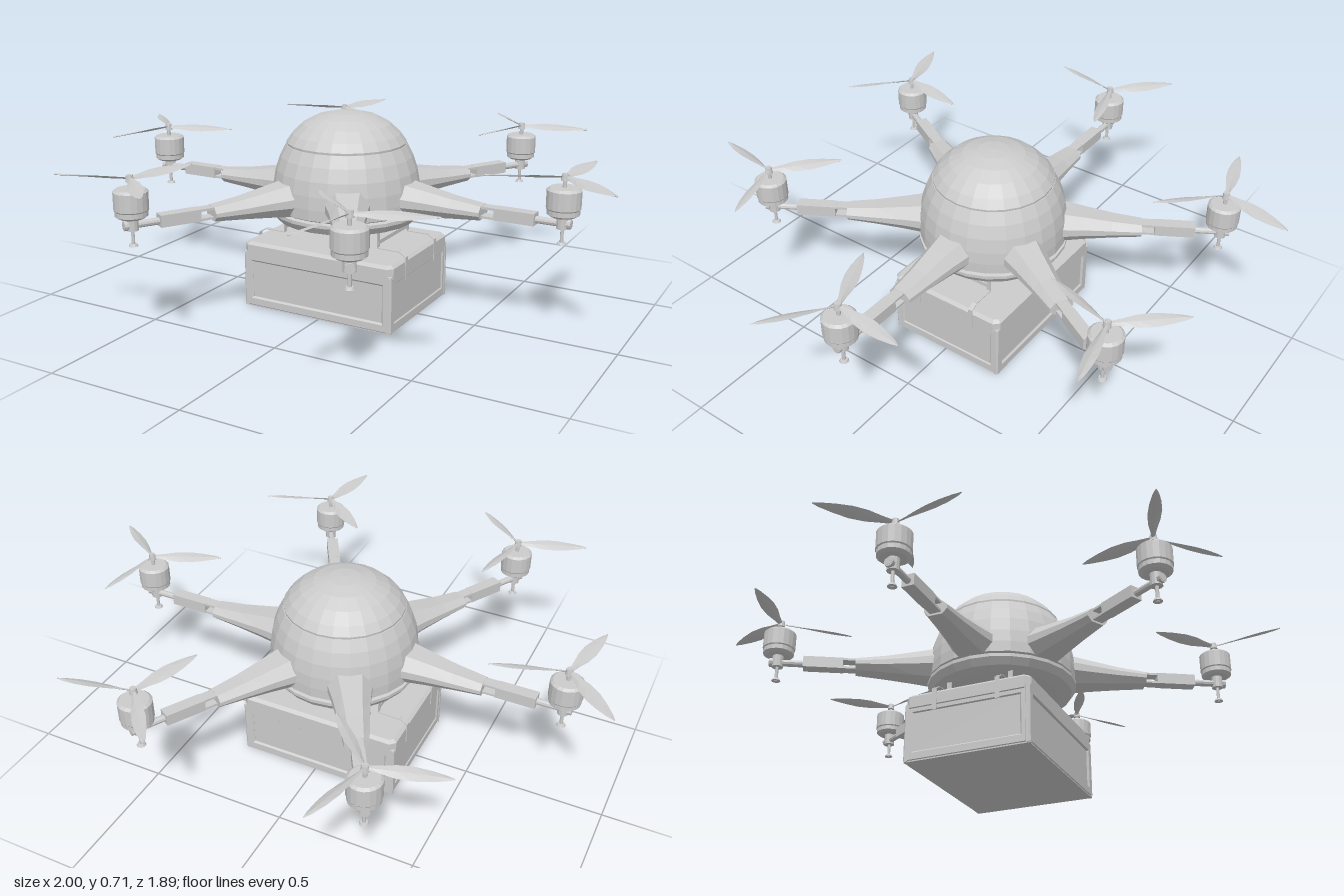
import * as THREE from 'three';

const grey = new THREE.MeshStandardMaterial({ color: 0xcccccc, flatShading: true });
const thin = new THREE.MeshStandardMaterial({ color: 0xcccccc, flatShading: true, side: THREE.DoubleSide });

function add(parent, name, geometry, x = 0, y = 0, z = 0, material = grey) {
  const mesh = new THREE.Mesh(geometry, material);
  mesh.name = name;
  mesh.position.set(x, y, z);
  parent.add(mesh);
  return mesh;
}
const box = (w, h, d) => new THREE.BoxGeometry(w, h, d);
const cyl = (r1, r2, h, n = 16) => new THREE.CylinderGeometry(r1, r2, h, n);
const lathe = (pts, n) => new THREE.LatheGeometry(pts.map(p => new THREE.Vector2(...p)), n);

// Skin a row of closed cross-sections running along +x, with end caps
function loft(rings) {
  const n = rings[0].length, index = [];
  for (let i = 0; i < rings.length - 1; i++) {
    for (let j = 0; j < n; j++) {
      const a = i * n + j, b = i * n + (j + 1) % n;
      index.push(a, b, b + n, a, b + n, a + n);
    }
  }
  const last = (rings.length - 1) * n;
  for (let j = 1; j < n - 1; j++) index.push(0, j + 1, j, last, last + j, last + j + 1);
  const g = new THREE.BufferGeometry();
  g.setAttribute('position', new THREE.Float32BufferAttribute(rings.flat(2), 3));
  g.setIndex(index);
  g.computeVertexNormals();
  return g;
}

// Tapering arm cover section: distance, bottom, top, half width
function coverRing([x, b, t, w]) {
  const hi = b + (t - b) * 0.62, lo = b + (t - b) * 0.35;
  return [[t, 0.55], [hi, 1], [lo, 1], [b, 0.6], [b, -0.6], [lo, -1], [hi, -1], [t, -0.55]]
    .map(([y, k]) => [x, y, k * w]);
}

// Twisted leaf-shaped blade section: distance, half width, pitch
function bladeRing([x, w, pitch]) {
  const c = Math.cos(pitch), s = Math.sin(pitch);
  return [[0.003, 0], [0, w], [-0.002, 0], [0, -w]]
    .map(([y, z]) => [x, y * c - z * s, y * s + z * c]);
}

function propeller(angle) {
  const g = new THREE.Group();
  g.name = 'propeller';
  g.position.y = 0.568;
  g.rotation.y = -angle * Math.PI / 180;
  const blade = loft([[0.008, 0.007, 0.6], [0.05, 0.013, 0.5], [0.09, 0.021, 0.42], [0.14, 0.024, 0.33],
    [0.19, 0.019, 0.25], [0.235, 0.01, 0.18], [0.258, 0.002, 0.1]].map(bladeRing));
  for (let i = 0; i < 3; i++) add(g, 'blade', blade).rotation.y = i * Math.PI * 2 / 3;
  add(g, 'hub', cyl(0.011, 0.014, 0.022, 12));
  return g;
}

function arm(angle, spin) {
  const g = new THREE.Group();
  g.name = 'arm';
  g.rotation.y = angle;
  add(g, 'armCover', loft([[0.2, 0.362, 0.485, 0.085], [0.32, 0.373, 0.465, 0.064],
    [0.42, 0.381, 0.448, 0.051], [0.525, 0.388, 0.436, 0.041]].map(coverRing)));
  // slotted joint made of two rails
  for (const y of [0.399, 0.431]) add(g, 'jointRail', box(0.07, 0.008, 0.04), 0.545, y, 0);
  add(g, 'armTube', box(0.14, 0.041, 0.044), 0.64, 0.415, 0);
  add(g, 'armRod', cyl(0.012, 0.012, 0.13, 10), 0.765, 0.413, 0).rotation.z = Math.PI / 2;
  add(g, 'rodCap', cyl(0.016, 0.016, 0.014, 10), 0.822, 0.413, 0).rotation.z = Math.PI / 2;

  const pod = new THREE.Group();
  pod.name = 'motorPod';
  pod.position.x = 0.8;
  g.add(pod);
  add(pod, 'motor', lathe([[0, 0.438], [0.042, 0.438], [0.054, 0.446], [0.054, 0.462], [0.057, 0.466],
    [0.057, 0.526], [0.048, 0.534], [0, 0.534]], 18));
  add(pod, 'motorMount', cyl(0.02, 0.02, 0.045, 12), 0, 0.418, 0);
  add(pod, 'shaft', cyl(0.007, 0.007, 0.05, 8), 0, 0.555, 0);
  add(pod, 'footPost', cyl(0.006, 0.006, 0.07, 8), 0, 0.375, 0);
  add(pod, 'foot', cyl(0.012, 0.016, 0.008, 12), 0, 0.346, 0);
  const prop = propeller(spin);
  prop.rotation.y -= angle;
  pod.add(prop);
  return g;
}

// Plate with a rectangular opening, sloped around its edges
function framePlate(w, h, border) {
  const b = 0.006, x = w / 2 - b, y = h / 2 - b, hx = w / 2 - border, hy = h / 2 - border;
  const rect = (P, p, q) => new P().moveTo(-p, -q).lineTo(p, -q).lineTo(p, q).lineTo(-p, q).closePath();
  const shape = rect(THREE.Shape, x, y);
  shape.holes.push(rect(THREE.Path, hx, hy));
  return new THREE.ExtrudeGeometry(shape, { depth: 0.008, bevelEnabled: true, bevelSize: b, bevelThickness: b, bevelSegments: 1 });
}

function cargoBox() {
  const g = new THREE.Group();
  g.name = 'cargoBox';
  add(g, 'container', box(0.575, 0.19, 0.435), 0, 0.1, 0);
  add(g, 'containerFloor', box(0.585, 0.012, 0.45), 0, 0.006, 0);
  for (const s of [1, -1]) {
    add(g, 'endPanelFrame', framePlate(0.594, 0.206, 0.03), 0, 0.104, s * 0.214).rotation.y = s > 0 ? 0 : Math.PI;
    add(g, 'sidePanelFrame', framePlate(0.456, 0.206, 0.03), s * 0.281, 0.104, 0).rotation.y = s * Math.PI / 2;
    add(g, 'endPanel', box(0.525, 0.14, 0.01), 0, 0.104, s * 0.216);
    add(g, 'sidePanel', box(0.01, 0.14, 0.385), s * 0.286, 0.104, 0);
  }
  // lid with chamfered corners and edges
  const w = 0.286, d = 0.216, c = 0.012, lid = new THREE.Shape();
  [[-w, -d + c], [-w + c, -d], [w - c, -d], [w, -d + c], [w, d - c], [w - c, d], [-w + c, d], [-w, d - c]]
    .forEach(([x, y], i) => (i ? lid.lineTo(x, y) : lid.moveTo(x, y)));
  add(g, 'lid', new THREE.ExtrudeGeometry(lid, { depth: 0.04, bevelSize: 0.012, bevelThickness: 0.01, bevelSegments: 1 }),
    0, 0.193, 0).rotation.x = -Math.PI / 2;
  return g;
}

// Flat straps that hang from the hull and fold over the lid
function hanger(side) {
  const g = new THREE.Group();
  g.name = 'hanger';
  const path = [[0.19, 0.36], [0.19, 0.264], [0.272, 0.264], [0.299, 0.248], [0.299, 0.17]];
  for (const z of [0.115, -0.115]) {
    for (let i = 0; i < path.length - 1; i++) {
      const [x0, y0] = path[i], [x1, y1] = path[i + 1];
      const strap = add(g, 'strap', box(Math.hypot(x1 - x0, y1 - y0), 0.003, 0.017),
        side * (x0 + x1) / 2, (y0 + y1) / 2, z, thin);
      strap.rotation.z = Math.atan2(y1 - y0, side * (x1 - x0));
    }
  }
  for (const y of [0.352, 0.283]) add(g, 'crossbar', box(0.004, 0.014, 0.23), side * 0.19, y, 0, thin);
  return g;
}

export function createModel() {
  const model = new THREE.Group();
  model.name = 'deliveryDrone';
  const drone = new THREE.Group();
  drone.name = 'drone';
  drone.position.set(-0.01, 0, -0.003);
  model.add(drone);

  // hull: domed shell with a seam, above a shallow flared pan
  add(drone, 'upperDome', lathe([[0.212, 0.592], [0.213, 0.601], [0.192, 0.63], [0.155, 0.664],
    [0.108, 0.689], [0.055, 0.702], [0, 0.706]], 24));
  add(drone, 'lowerDome', lathe([[0.25, 0.365], [0.263, 0.372], [0.264, 0.41], [0.261, 0.455], [0.252, 0.505],
    [0.236, 0.552], [0.215, 0.593], [0.2, 0.595]], 24));
  add(drone, 'hullPan', lathe([[0, 0.322], [0.2, 0.322], [0.222, 0.316], [0.25, 0.326], [0.267, 0.35],
    [0.267, 0.362], [0.245, 0.368], [0, 0.368]], 24));

  // six arms around the hull, each propeller stopped at its own angle
  [36, -12, 45, -17, 42, -20].forEach((spin, i) => drone.add(arm(i * Math.PI / 3, spin)));

  drone.add(cargoBox());
  for (const side of [1, -1]) drone.add(hanger(side));
  return model;
}
